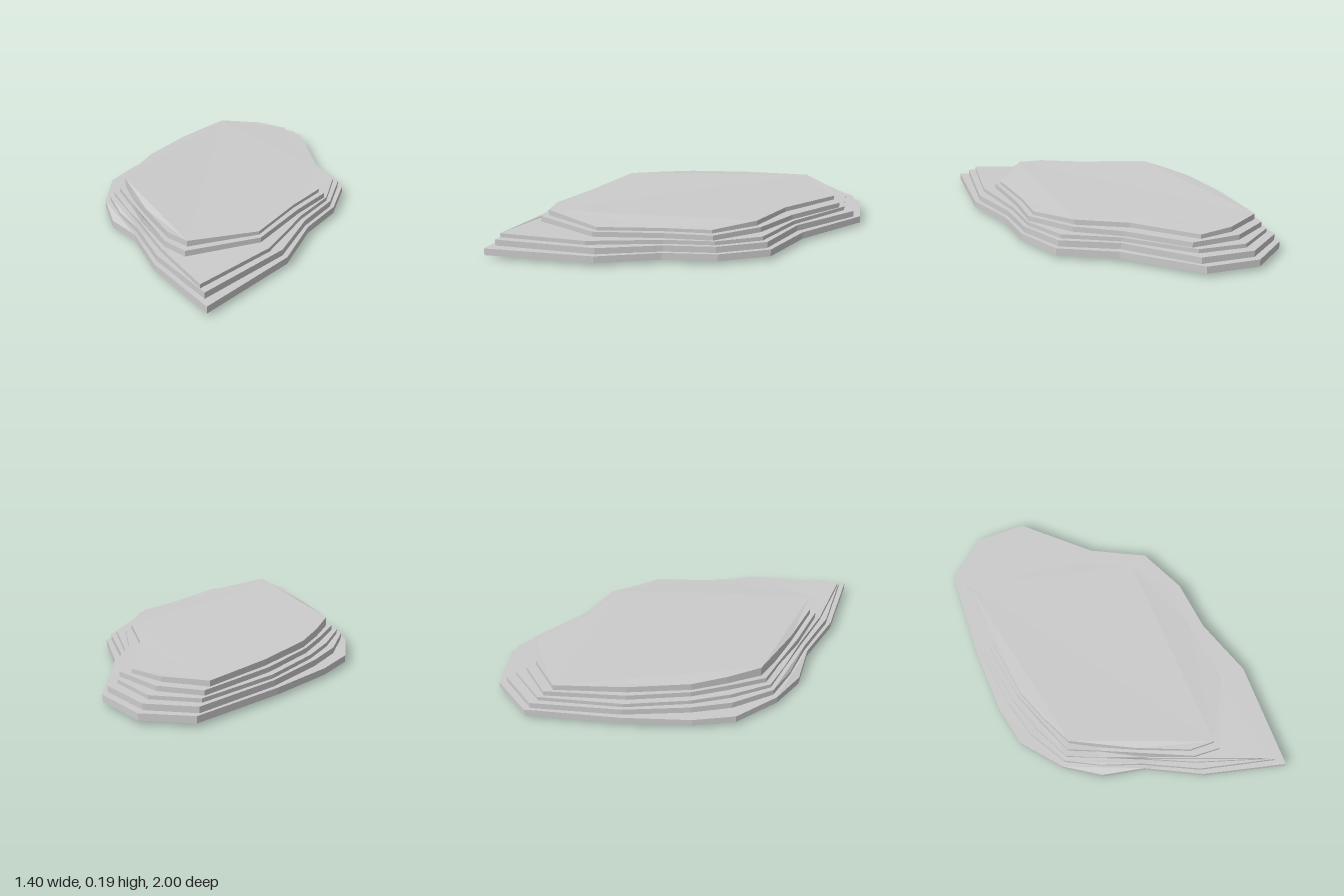
import * as THREE from 'three';

const material = new THREE.MeshStandardMaterial({ color: 0xcccccc, flatShading: true });

// Closed slab: outline is flat x,z pairs, clockwise from above;
// low(i) and high(i) give the heights at each corner.
function makeSlab(name, outline, low, high) {
  const n = outline.length / 2;
  const ring = (height) => Array.from({ length: n }, (_, i) =>
    new THREE.Vector3(outline[2 * i], height(i), outline[2 * i + 1]));
  const bottom = ring(low);
  const top = ring(high);
  const positions = [];
  const tri = (...corners) => corners.forEach((p) => positions.push(p.x, p.y, p.z));

  // Side walls
  for (let i = 0; i < n; i++) {
    const j = (i + 1) % n;
    tri(bottom[i], top[i], top[j]);
    tri(bottom[i], top[j], bottom[j]);
  }

  // Top and bottom caps, turned to face up and down
  const flat = top.map((p) => new THREE.Vector2(p.x, -p.z));
  for (const [a, b, c] of THREE.ShapeUtils.triangulateShape(flat, [])) {
    const up = THREE.ShapeUtils.area([flat[a], flat[b], flat[c]]) > 0;
    const [p, q] = up ? [b, c] : [c, b];
    tri(top[a], top[p], top[q]);
    tri(bottom[a], bottom[q], bottom[p]);
  }

  const geometry = new THREE.BufferGeometry();
  geometry.setAttribute('position', new THREE.Float32BufferAttribute(positions, 3));
  geometry.computeVertexNormals();
  const mesh = new THREE.Mesh(geometry, material);
  mesh.name = name;
  return mesh;
}

// Level height with a sag at the front-left notch (corner 10)
const level = (y, sag = 0.015) => (i) => y - (i === 10 ? sag : i === 11 ? sag * 0.2 : 0);

export function createModel() {
  const group = new THREE.Group();
  group.name = 'layeredRock';

  // Widest ledge on the ground
  group.add(makeSlab('baseLedge', [
    -0.44, -1.0, -0.15, -0.99, 0.18, -0.66, 0.47, -0.5, 0.58, -0.23, 0.6, 0.06,
    0.7, 0.4, 0.67, 1.0, 0.22, 0.87, -0.07, 0.71, -0.3, 0.65, -0.49, 0.52,
    -0.66, 0.3, -0.7, 0.07, -0.7, -0.3, -0.66, -0.82,
  ], level(0.02, 0.02), level(0.058)));

  group.add(makeSlab('secondLedge', [
    -0.43, -0.96, -0.14, -0.95, 0.16, -0.63, 0.45, -0.48, 0.56, -0.22, 0.58, 0.06,
    0.67, 0.4, 0.62, 0.955, 0.21, 0.84, -0.07, 0.69, -0.29, 0.6, -0.47, 0.5,
    -0.59, 0.28, -0.64, 0.06, -0.675, -0.3, -0.645, -0.79,
  ], level(0.05), level(0.092, 0.018)));

  group.add(makeSlab('thirdLedge', [
    -0.41, -0.91, -0.15, -0.895, 0.15, -0.61, 0.43, -0.455, 0.54, -0.21, 0.555, 0.06,
    0.63, 0.46, 0.58, 0.94, 0.2, 0.8, -0.07, 0.665, -0.28, 0.565, -0.45, 0.485,
    -0.55, 0.27, -0.61, 0.06, -0.655, -0.29, -0.62, -0.75,
  ], level(0.08), level(0.114, 0.015)));

  group.add(makeSlab('fourthLedge', [
    -0.4, -0.85, -0.13, -0.865, 0.13, -0.6, 0.36, -0.44, 0.53, -0.2, 0.53, 0.06,
    0.562, 0.44, 0.35, 0.785, 0.2, 0.77, -0.07, 0.65, -0.265, 0.535, -0.43, 0.46,
    -0.51, 0.26, -0.575, 0.06, -0.62, -0.28, -0.605, -0.72,
  ], level(0.1), level(0.142, 0.02)));

  // Uneven top slab
  const crest = [0.17, 0.165, 0.168, 0.17, 0.162, 0.16, 0.16, 0.174,
    0.174, 0.17, 0.14, 0.19, 0.184, 0.18, 0.177, 0.173];
  group.add(makeSlab('topSlab', [
    -0.38, -0.8, -0.19, -0.835, 0.08, -0.56, 0.34, -0.415, 0.5, -0.19, 0.5, 0.06,
    0.535, 0.42, 0.33, 0.745, 0.19, 0.735, -0.08, 0.61, -0.27, 0.51, -0.41, 0.43,
    -0.49, 0.25, -0.555, 0.06, -0.593, -0.28, -0.59, -0.67,
  ], level(0.13), (i) => crest[i]));

  return group;
}
